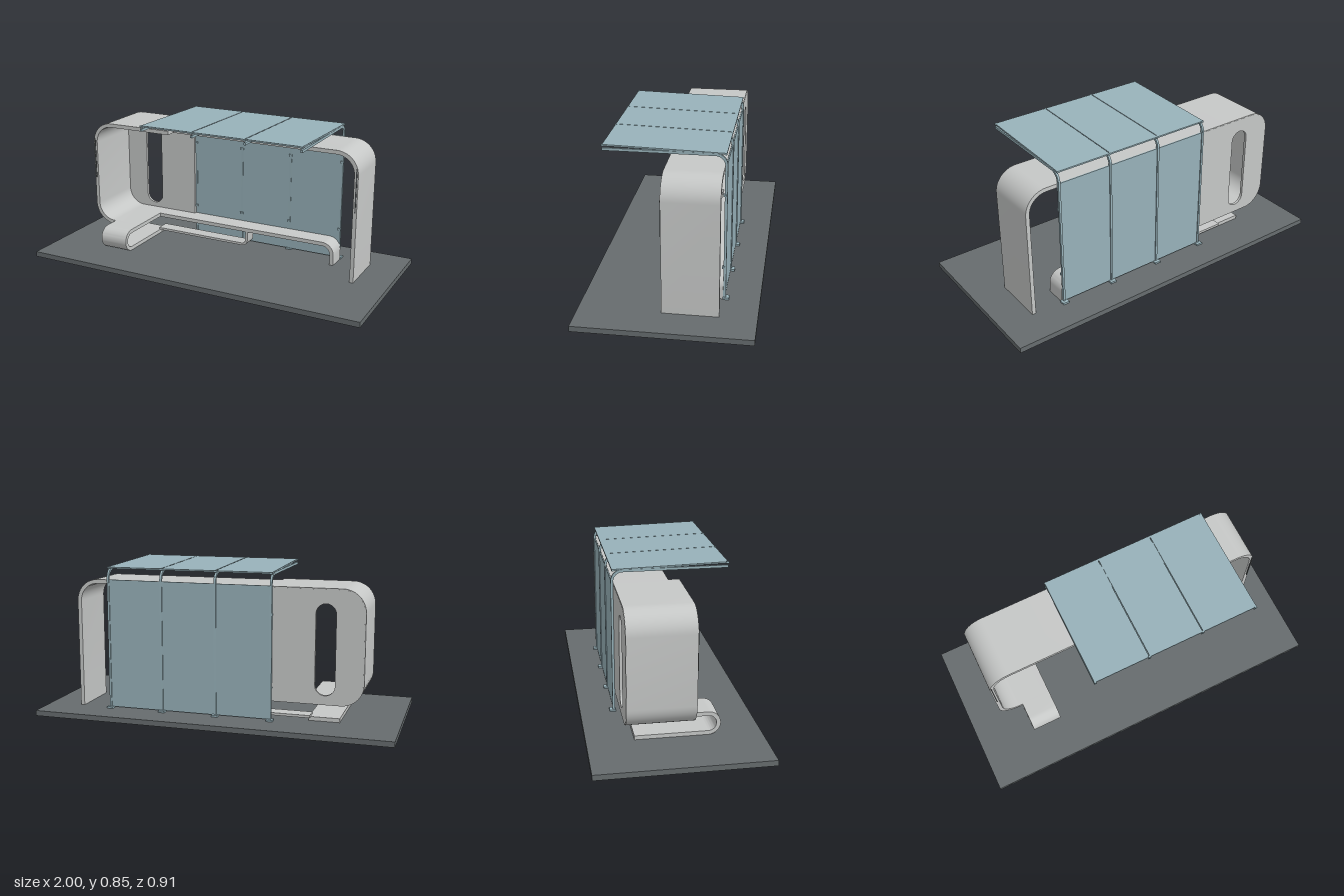
import * as THREE from 'three';
import { toCreasedNormals } from 'three/addons/utils/BufferGeometryUtils.js';

const material = (name, color) => {
  const m = new THREE.MeshStandardMaterial({ color });
  m.name = name;
  return m;
};

// Polyline with its inner corners rounded to the given radius
function roundedPath(corners, radius) {
  const pts = corners.map(([x, y]) => new THREE.Vector2(x, y));
  const out = [pts[0]];
  for (let i = 1; i < pts.length - 1; i++) {
    const p = pts[i];
    const a = pts[i - 1].clone().sub(p).setLength(radius).add(p);
    const b = pts[i + 1].clone().sub(p).setLength(radius).add(p);
    const centre = a.clone().add(b).sub(p);
    for (let k = 0; k <= 12; k++) {
      const t = (k / 12) * Math.PI / 2;
      out.push(centre.clone()
        .addScaledVector(a.clone().sub(centre), Math.cos(t))
        .addScaledVector(b.clone().sub(centre), Math.sin(t)));
    }
  }
  out.push(pts[pts.length - 1]);
  return out;
}

// Bent band of constant thickness, extruded from z0 to z1
function band(corners, radius, thickness, z0, z1) {
  const path = roundedPath(corners, radius);
  const side = (s) => path.map((p, i) => {
    const d = path[Math.min(i + 1, path.length - 1)].clone().sub(path[Math.max(i - 1, 0)]).normalize();
    return new THREE.Vector2(p.x - d.y * s, p.y + d.x * s);
  });
  const shape = new THREE.Shape([...side(thickness / 2), ...side(-thickness / 2).reverse()]);
  const geo = new THREE.ExtrudeGeometry(shape, { depth: z1 - z0, bevelEnabled: false });
  geo.translate(0, 0, z0);
  return toCreasedNormals(geo, 0.6);
}

// Same band drawn in the z-y plane and running from x0 to x1
const sideBand = (corners, radius, thickness, x0, x1) =>
  band(corners, radius, thickness, -x1, -x0).rotateY(-Math.PI / 2);

export function createModel() {
  const group = new THREE.Group();
  const shellMat = material('pale grey shell', 0xc6c8c7);
  const glassMat = material('blue grey glass', 0x98b2ba);
  const baseMat = material('dark grey ground', 0x666c6e);
  const lampMat = material('charcoal lamp', 0x505456);

  const add = (name, geo, mat) => {
    const mesh = new THREE.Mesh(geo, mat);
    mesh.name = name;
    group.add(mesh);
    return mesh;
  };
  const box = (name, mat, w, h, d, x, y, z) => {
    const mesh = add(name, new THREE.BoxGeometry(w, h, d), mat);
    mesh.position.set(x, y, z);
    return mesh;
  };

  // Ground slab
  box('groundSlab', baseMat, 2, 0.03, 0.914, 0, 0.015, 0);

  // Shell: deep end, shallower roof and wall, narrow bench
  const T = 0.022, back = -0.265, step = -0.3;
  add('deepShell', band([[step, 0.749], [-0.802, 0.749], [-0.802, 0.149], [-0.51, 0.149]],
    0.112, T, back, 0.088), shellMat);
  add('roofAndWall', band([[step, 0.749], [0.802, 0.749], [0.802, 0.03]], 0.112, T, back, 0.028), shellMat);
  add('bench', band([[-0.51, 0.149], [0.62, 0.149], [0.62, 0.03]], 0.06, T, back, -0.15), shellMat);

  // Back panel with a pill-shaped window
  const panel = new THREE.Shape(roundedPath(
    [[-0.318, 0.755], [-0.808, 0.755], [-0.808, 0.142], [-0.318, 0.142]], 0.116));
  const hole = new THREE.Path();
  hole.absarc(-0.605, 0.625, 0.054, 0, Math.PI, false);
  hole.absarc(-0.605, 0.243, 0.054, Math.PI, Math.PI * 2, false);
  hole.closePath();
  panel.holes.push(hole);
  const panelGeo = new THREE.ExtrudeGeometry(panel, { depth: 0.016, bevelEnabled: false, curveSegments: 20 });
  panelGeo.translate(0, 0, back - 0.001);
  add('backPanel', toCreasedNormals(panelGeo, 0.6), shellMat);

  // Looped front seat and the low rail under the bench
  add('loopSeat', sideBand([[-0.21, 0.043], [0.229, 0.043], [0.229, 0.149], [0.08, 0.149]],
    0.0529, T, -0.68, -0.51), shellMat);
  add('lowRail', band([[-0.52, 0.057], [0.084, 0.057], [0.084, 0.142]], 0.03, 0.014, -0.23, -0.15), shellMat);

  // Bent posts with feet, glass fixings and roof clips
  const posts = [-0.312, -0.002, 0.308, 0.62];
  for (const x of posts) {
    add('bentPost', sideBand([[-0.272, 0.03], [-0.272, 0.823], [0.348, 0.823]],
      0.055, 0.014, x - 0.006, x + 0.006), glassMat);
    box('postFoot', glassMat, 0.036, 0.01, 0.034, x, 0.035, -0.279);
    for (const y of [0.21, 0.61]) box('glassFixing', glassMat, 0.018, 0.012, 0.014, x, y, -0.265);
    box('roofClip', glassMat, 0.012, 0.01, 0.012, x, 0.843, 0.346);
    box('roofClip', glassMat, 0.012, 0.01, 0.012, x, 0.828, -0.267);
  }

  // Three glass bays, each with a wall pane and a sloping roof pane
  const edges = [-0.318, posts[1], posts[2], 0.627];
  for (let i = 0; i < 3; i++) {
    const w = edges[i + 1] - edges[i] - 0.004, x = (edges[i] + edges[i + 1]) / 2;
    box('wallPane', glassMat, w, 0.725, 0.007, x, 0.4, -0.27);
    box('canopyPane', glassMat, w, 0.008, 0.62, x, 0.836, 0.037).rotation.x = -0.024;
  }

  // Thin lamp strips set in the front edges of the shell
  box('roofLamp', lampMat, 0.19, 0.009, 0.004, 0, 0.752, 0.029);
  box('roofLamp', lampMat, 0.17, 0.009, 0.004, 0.385, 0.752, 0.029);
  box('rightLamp', lampMat, 0.006, 0.24, 0.004, -0.804, 0.54, 0.089);
  box('leftLamp', lampMat, 0.006, 0.24, 0.004, 0.804, 0.55, 0.029);

  return group;
}
